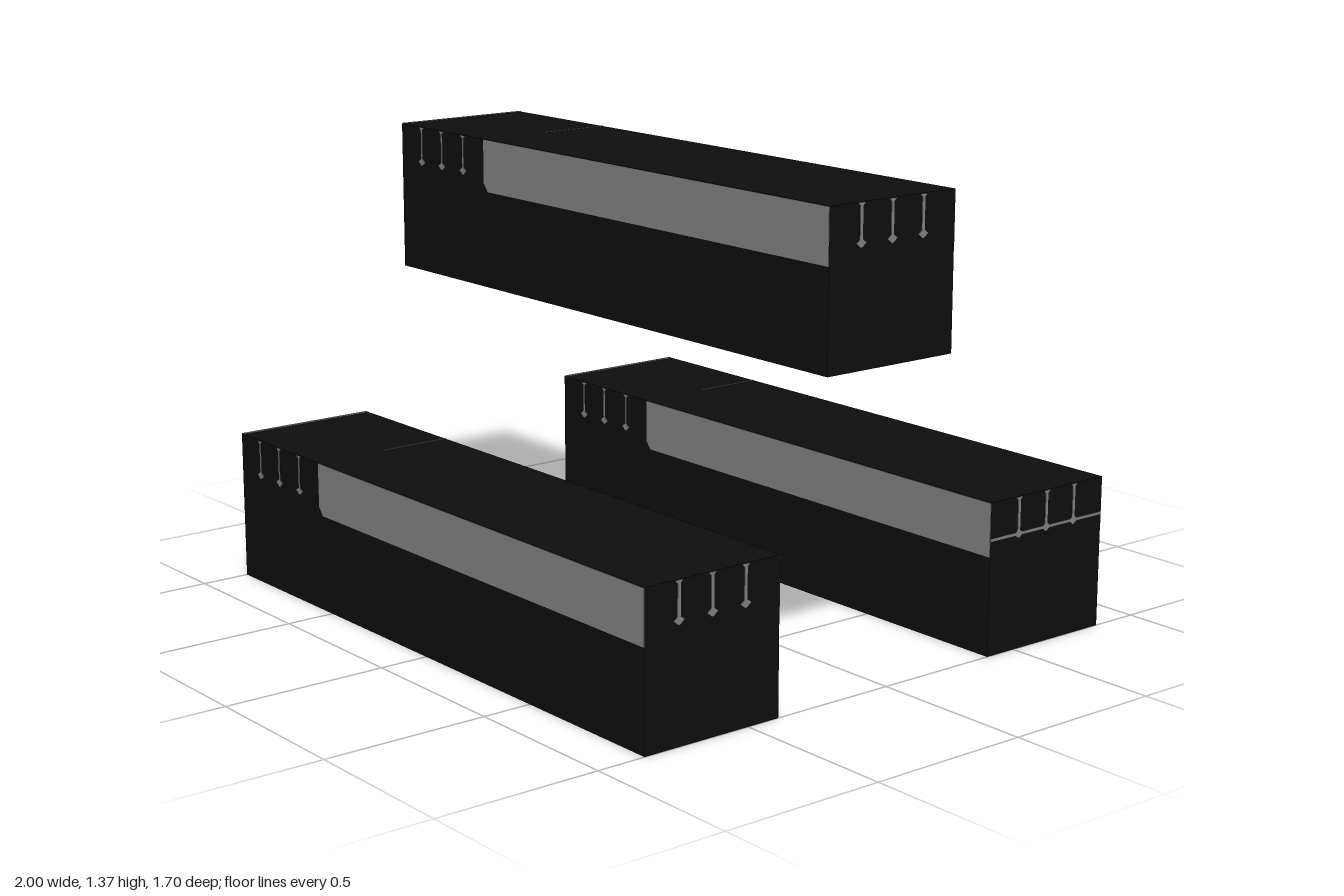
import * as THREE from 'three';

const black = new THREE.MeshStandardMaterial({ color: 0x0e0e0e });
black.name = 'black';
const grey = new THREE.MeshStandardMaterial({ color: 0x808080 });
grey.name = 'grey';

const L = 2, S = 0.455, PROUD = 0.0015;

// Prism from an outline, running right through the block and just proud of both faces
function through(points, length) {
  const shape = new THREE.Shape(points.map(([x, y]) => new THREE.Vector2(x, y)));
  const depth = length + 2 * PROUD;
  const geo = new THREE.ExtrudeGeometry(shape, { depth, bevelEnabled: false });
  return geo.translate(0, 0, -depth / 2);
}

// Gap between two chamfered tiles: flared at the top, diamond at the foot
function seam(x, w) {
  const t = S - 0.002;
  const half = [[0.003, 0.333], [0.018, 0.345], [w, 0.355], [w, t - 0.008], [0.013, t]];
  return [...half.map(([a, y]) => [x + a, y]), ...half.reverse().map(([a, y]) => [x - a, y])];
}

function createBlock(name, y, z, endRow) {
  const block = new THREE.Group();
  block.name = name;
  const add = (partName, geo, mat) => {
    const mesh = new THREE.Mesh(geo, mat);
    mesh.name = partName;
    block.add(mesh);
    return mesh;
  };

  add('body', new THREE.BoxGeometry(L, S, S).translate(0, S / 2, 0), black);

  // Grey band on both long faces, with a cut lower corner
  add('sideBand', through([
    [-0.535, 0.295], [0.9995, 0.295], [0.9995, S - 0.0015], [-0.555, S - 0.0015], [-0.555, 0.32],
  ], S), grey);

  // Tile seams on the long faces
  for (const x of [-0.89, -0.78, -0.665]) add('sideSeam', through(seam(x, 0.003), S), grey);

  // Tile seams on both ends
  for (const s of [-0.115, -0.003, 0.11]) {
    add('endSeam', through(seam(s, 0.005), L).rotateY(Math.PI / 2), grey);
  }
  if (endRow) {
    add('endRowSeam', new THREE.BoxGeometry(L + 2 * PROUD, 0.008, S - 0.002).translate(0, 0.345, 0), grey);
  }

  // Thin lines on the top: one along the end, one half across
  add('topEndLine', new THREE.BoxGeometry(0.012, 0.003, S - 0.002).translate(-0.994, S, 0), grey);
  add('topSeam', new THREE.BoxGeometry(0.005, 0.003, S / 2).translate(-0.555, S, -S / 4), grey);

  block.position.set(0, y, z);
  return block;
}

export function createModel() {
  const model = new THREE.Group();
  model.name = 'stackedBlocks';
  model.add(
    createBlock('frontBlock', 0, 0.622, false),
    createBlock('backBlock', 0, -0.622, true),
    createBlock('topBlock', 0.91, 0.008, false),
  );
  return model;
}
